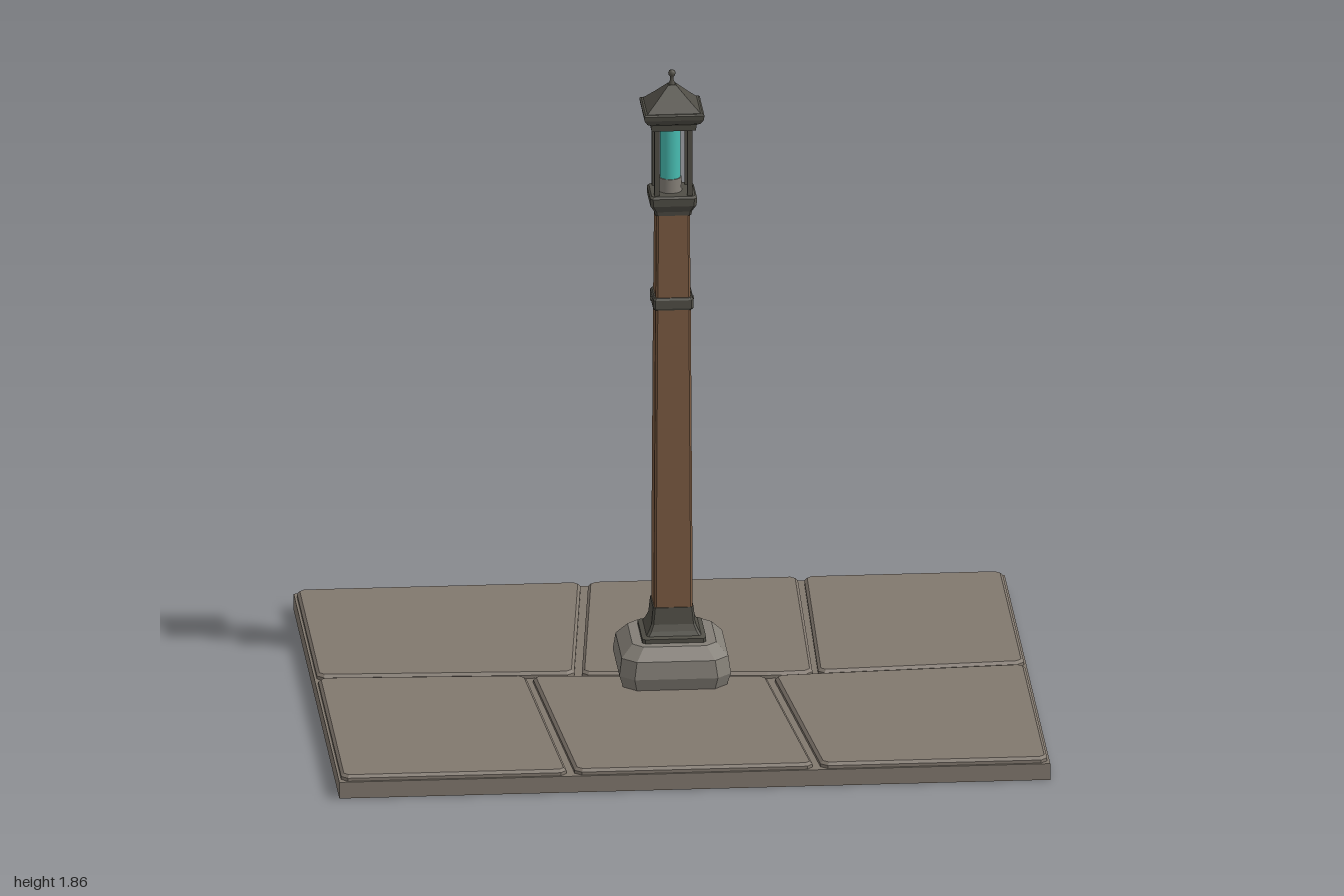
import * as THREE from 'three';

const material = (name, color) => {
  const m = new THREE.MeshStandardMaterial({ color });
  m.name = name;
  return m;
};

// Square ring with clipped corners, counter-clockwise seen from above
function ring([y, half, cut = 0]) {
  const points = [];
  for (let k = 0; k < 4; k++) {
    const corner = cut ? [[half, half - cut], [half - cut, half]] : [[half, half]];
    for (const [a, b] of corner) {
      const [x, z] = [[a, -b], [-b, -a], [-a, b], [b, a]][k];
      points.push(new THREE.Vector3(x, y, z));
    }
  }
  return points;
}

// Capped faceted solid through a stack of [height, half width, corner cut] rings
function squareLoft(profile) {
  const rings = profile.map(ring);
  const vertices = [];
  const tri = (...ps) => ps.forEach((p) => vertices.push(p.x, p.y, p.z));
  const n = rings[0].length;
  for (let r = 0; r < rings.length - 1; r++) {
    const low = rings[r], high = rings[r + 1];
    for (let i = 0; i < n; i++) {
      const j = (i + 1) % n;
      tri(low[i], low[j], high[j]);
      tri(low[i], high[j], high[i]);
    }
  }
  const first = rings[0], last = rings[rings.length - 1];
  for (let i = 1; i < n - 1; i++) {
    tri(first[0], first[i + 1], first[i]);
    tri(last[0], last[i], last[i + 1]);
  }
  const geometry = new THREE.BufferGeometry();
  geometry.setAttribute('position', new THREE.Float32BufferAttribute(vertices, 3));
  geometry.computeVertexNormals();
  return geometry;
}

// Paving tile from [x, z] corners, with clipped corners and a bevelled rim
function tileGeometry(corners) {
  const pts = corners.map(([x, z]) => new THREE.Vector2(x, -z));
  const outline = [];
  pts.forEach((p, i) => {
    for (const q of [pts[(i + pts.length - 1) % pts.length], pts[(i + 1) % pts.length]]) {
      outline.push(p.clone().add(q.clone().sub(p).setLength(0.018)));
    }
  });
  const bevel = 0.008;
  const geometry = new THREE.ExtrudeGeometry(new THREE.Shape(outline), {
    depth: 0.02, bevelEnabled: true, bevelThickness: bevel,
    bevelSize: bevel, bevelOffset: -bevel, bevelSegments: 1,
  });
  geometry.rotateX(-Math.PI / 2);
  geometry.translate(0, 0.065 - 0.02 - bevel, 0);
  return geometry;
}

export function createModel() {
  const paving = material('paving stone', 0x81786e);
  const plinthStone = material('plinth stone', 0x837e76);
  const metal = material('dark metal', 0x504e46);
  const wood = material('brown wood', 0x7a5a41);
  const glass = material('teal glass', 0x48bdb2);

  const model = new THREE.Group();
  model.name = 'lampPost';
  const add = (name, geometry, mat, x = 0, y = 0, z = 0, parent = model) => {
    const mesh = new THREE.Mesh(geometry, mat);
    mesh.name = name;
    mesh.position.set(x, y, z);
    parent.add(mesh);
    return mesh;
  };

  // Paved ground: slab and six uneven tiles
  add('groundSlab', new THREE.BoxGeometry(2, 0.048, 1.606), paving, 0, 0.024, 0);
  const e = 0.993, f = 0.796;
  const tiles = [
    [[-e, -f], [-0.193, -f], [-0.273, -0.03], [-e, -0.06]],
    [[-0.172, -f], [0.417, -f], [0.395, 0.014], [0.285, 0.02], [-0.252, -0.026]],
    [[0.435, -f], [e, -f], [e, -0.02], [0.411, 0.012]],
    [[-e, -0.045], [-0.41, -0.018], [-0.358, f], [-e, f]],
    [[-0.392, -0.014], [0.262, 0.038], [0.335, f], [-0.335, f]],
    [[0.284, 0.035], [e, -0.003], [e, f], [0.357, f]],
  ];
  const pavement = new THREE.Group();
  pavement.name = 'pavement';
  model.add(pavement);
  tiles.forEach((t, i) => add(`tile${i + 1}`, tileGeometry(t), paving, 0, 0, 0, pavement));

  // Plinth and post
  const post = new THREE.Group();
  post.name = 'post';
  post.position.z = -0.003;
  model.add(post);
  const loft = (name, profile, mat) => add(name, squareLoft(profile), mat, 0, 0, 0, post);

  loft('plinth', [
    [0.05, 0.142, 0.035], [0.1, 0.157, 0.04], [0.15, 0.15, 0.04], [0.184, 0.118, 0.03],
  ], plinthStone);
  loft('footCollar', [
    [0.18, 0.09, 0.008], [0.196, 0.09, 0.008], [0.2, 0.077, 0.007],
    [0.212, 0.07, 0.007], [0.23, 0.062, 0.006], [0.278, 0.057, 0.006],
  ], metal);
  loft('shaft', [
    [0.27, 0.054, 0.006], [0.5, 0.0535, 0.006], [1.1, 0.05, 0.006], [1.45, 0.047, 0.006],
  ], wood);
  loft('middleBand', [
    [1.16, 0.053, 0.006], [1.166, 0.057, 0.006], [1.19, 0.057, 0.006], [1.196, 0.053, 0.006],
  ], metal);
  for (const s of [-1, 1]) {
    const rivet = new THREE.CylinderGeometry(0.005, 0.006, 0.005, 8);
    add('bandRivet', rivet, metal, s * 0.059, 1.178, 0, post).rotation.z = -s * Math.PI / 2;
  }

  // Lantern: tray, corner bars, cup and glass
  loft('lanternTray', [
    [1.44, 0.051, 0.006], [1.452, 0.053, 0.006], [1.472, 0.065, 0.008],
    [1.494, 0.066, 0.008], [1.5, 0.061, 0.008],
  ], metal);
  for (const x of [-1, 1]) {
    for (const z of [-1, 1]) {
      add('cornerBar', new THREE.BoxGeometry(0.014, 0.21, 0.014), metal,
        x * 0.046, 1.6, z * 0.046, post);
    }
  }
  add('lampCup', new THREE.CylinderGeometry(0.032, 0.034, 0.042, 12), plinthStone,
    -0.005, 1.519, 0, post);
  add('lampGlass', new THREE.CylinderGeometry(0.029, 0.029, 0.17, 12), glass,
    -0.005, 1.618, 0, post);

  // Roof and finial
  loft('eaves', [
    [1.695, 0.062], [1.714, 0.065], [1.72, 0.075], [1.733, 0.083], [1.746, 0.085], [1.75, 0.08],
  ], metal);
  loft('roof', [[1.748, 0.077], [1.78, 0.044], [1.814, 0.011]], metal);
  const finial = [[0, 1.8], [0.011, 1.806], [0.009, 1.818], [0.005, 1.826], [0.005, 1.836],
    [0.009, 1.841], [0.0105, 1.847], [0.008, 1.854], [0, 1.857]];
  add('finial', new THREE.LatheGeometry(finial.map(([r, y]) => new THREE.Vector2(r, y)), 12),
    metal, 0, 0, 0, post);

  return model;
}
